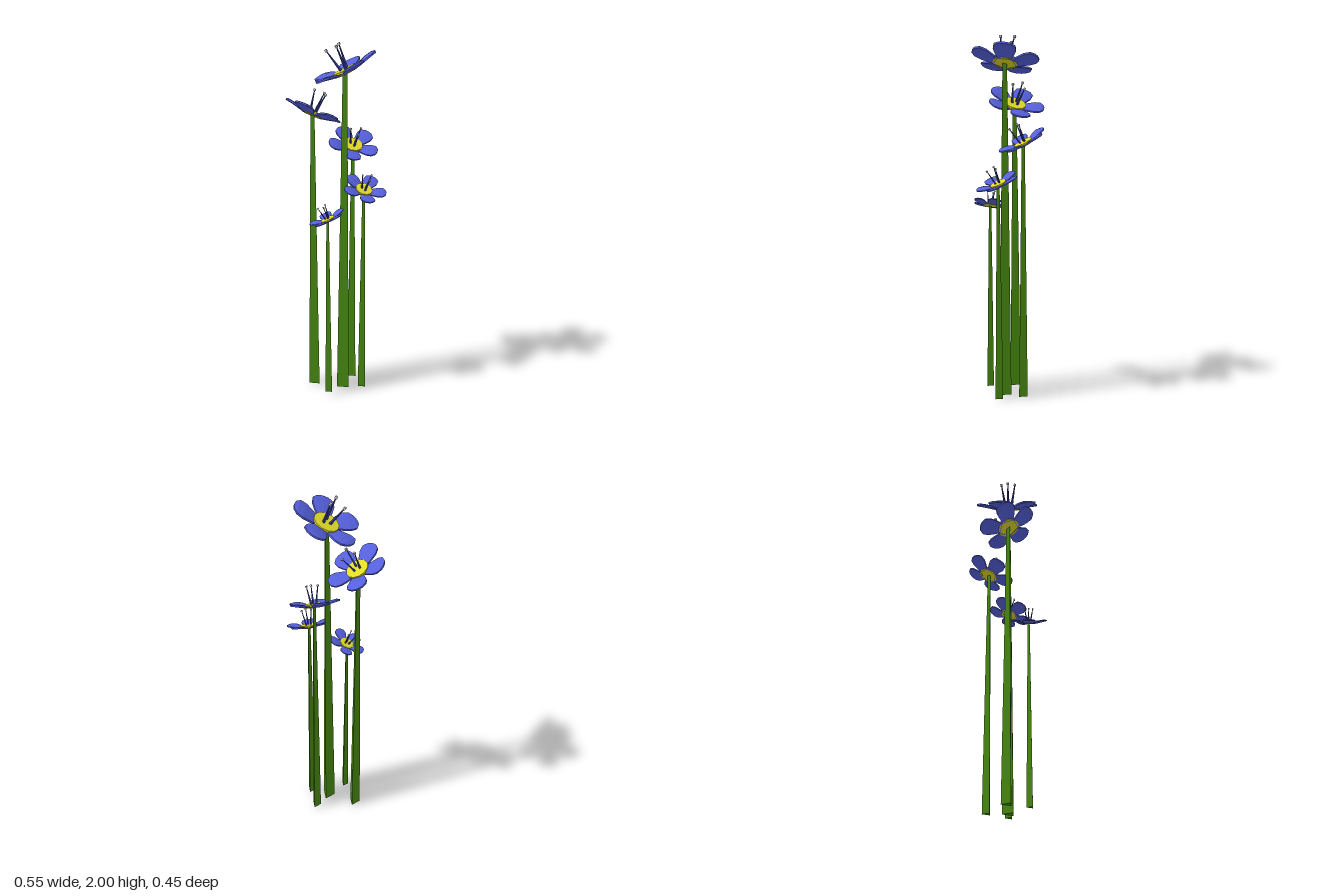
import * as THREE from 'three';

const mat = (color) => new THREE.MeshStandardMaterial({ color, flatShading: true });
const petalMat = mat(0x5560dc);
const discMat = mat(0xe0da28);
const stemMat = mat(0x488a10);
const filamentMat = mat(0x36409a);
const tipMat = mat(0xcccccc);

function part(name, geometry, material) {
  const mesh = new THREE.Mesh(geometry, material);
  mesh.name = name;
  return mesh;
}

// Petal pointing along +x for a flower of radius 1: a box bent into a broad, arched leaf
const ROW_R = [0.28, 0.46, 0.68, 0.88, 1.0];
const ROW_Y = [-0.04, 0.03, 0.1, 0.13, 0.11];
const HALF_W = [0.19, 0.26, 0.33, 0.31, 0.17];
function petalGeometry() {
  const g = new THREE.BoxGeometry(1, 1, 1, 4, 1, 4);
  const p = g.attributes.position;
  for (let i = 0; i < p.count; i++) {
    const row = Math.round((p.getX(i) + 0.5) * 4);
    const t = row / 4;
    const u = p.getZ(i) * 2;
    const r = ROW_R[row] - 0.03 * u * u * t;
    const y = ROW_Y[row] - 0.04 * u * u * Math.sin(Math.PI * t) + p.getY(i) * 0.055;
    p.setXYZ(i, r, y, u * HALF_W[row]);
  }
  const flat = g.toNonIndexed();
  flat.computeVertexNormals();
  return flat;
}

// Flower head of radius 1 with its face up; start is the angle of the first petal
function flowerHead(start) {
  const head = new THREE.Group();
  head.name = 'flowerHead';
  head.add(part('flowerCentre', new THREE.CylinderGeometry(0.38, 0.37, 0.12, 12), discMat));

  const petal = petalGeometry();
  for (let i = 0; i < 5; i++) {
    const m = part('petal', petal, petalMat);
    m.rotation.y = -(start + (i * Math.PI * 2) / 5);
    head.add(m);
  }

  // Three stamens leaning slightly outwards
  for (let i = 0; i < 3; i++) {
    const a = Math.PI + (i * Math.PI * 2) / 3;
    const dir = new THREE.Vector3(Math.cos(a) * 0.13, 0.66, Math.sin(a) * 0.13);
    const stamen = new THREE.Group();
    stamen.name = 'stamen';
    const filament = part('filament', new THREE.CylinderGeometry(0.015, 0.045, 0.7, 4), filamentMat);
    filament.position.y = 0.35;
    const tip = part('stamenTip', new THREE.BoxGeometry(0.07, 0.07, 0.07), tipMat);
    tip.position.y = 0.7;
    stamen.add(filament, tip);
    stamen.position.set(Math.cos(a) * 0.11, 0.05, Math.sin(a) * 0.11);
    stamen.quaternion.setFromUnitVectors(new THREE.Vector3(0, 1, 0), dir.normalize());
    head.add(stamen);
  }
  return head;
}

// Three-sided tapering stem between two points, its section centred front to back
function stem(base, top, r) {
  const h = top.y - base.y;
  const g = new THREE.CylinderGeometry(r * 0.36, r, h, 3);
  g.rotateY(Math.PI);
  const p = g.attributes.position;
  for (let i = 0; i < p.count; i++) {
    const y = p.getY(i) + h / 2;
    const k = y / h;
    p.setXYZ(i,
      p.getX(i) + base.x + (top.x - base.x) * k,
      y + base.y,
      p.getZ(i) + base.z + (top.z - base.z) * k + r * 0.25 * (1 - 0.64 * k));
  }
  return part('stem', g, stemMat);
}

// at: head centre, foot: stem base, r: stem radius, size: flower radius,
// lean: x and z of the facing direction, start: first petal angle in degrees
const FLOWERS = [
  { at: [0.05, 1.858, 0.008], foot: [0.045, 0, 0.003], r: 0.04, size: 0.187, lean: [-0.45, 0], start: -15 },
  { at: [-0.125, 1.622, 0.012], foot: [-0.125, 0.005, 0], r: 0.035, size: 0.164, lean: [0.33, -0.36], start: 36 },
  { at: [0.075, 1.425, -0.105], foot: [0.075, 0.01, -0.112], r: 0.028, size: 0.14, lean: [0.26, 0.38], start: 9 },
  { at: [0.155, 1.208, 0.01], foot: [0.153, 0.008, 0.003], r: 0.025, size: 0.122, lean: [0.28, 0.3], start: -5 },
  { at: [-0.025, 1.065, 0.122], foot: [-0.02, 0.018, 0.118], r: 0.022, size: 0.103, lean: [-0.4, 0.02], start: 35 },
];

export function createModel() {
  const model = new THREE.Group();
  model.name = 'flowers';
  for (const f of FLOWERS) {
    const flower = new THREE.Group();
    flower.name = 'flower';
    const at = new THREE.Vector3(...f.at);
    flower.add(stem(new THREE.Vector3(...f.foot), at, f.r));
    const head = flowerHead(THREE.MathUtils.degToRad(f.start));
    const [x, z] = f.lean;
    head.quaternion.setFromUnitVectors(
      new THREE.Vector3(0, 1, 0),
      new THREE.Vector3(x, Math.sqrt(1 - x * x - z * z), z));
    head.scale.setScalar(f.size);
    head.position.copy(at);
    flower.add(head);
    model.add(flower);
  }
  return model;
}
